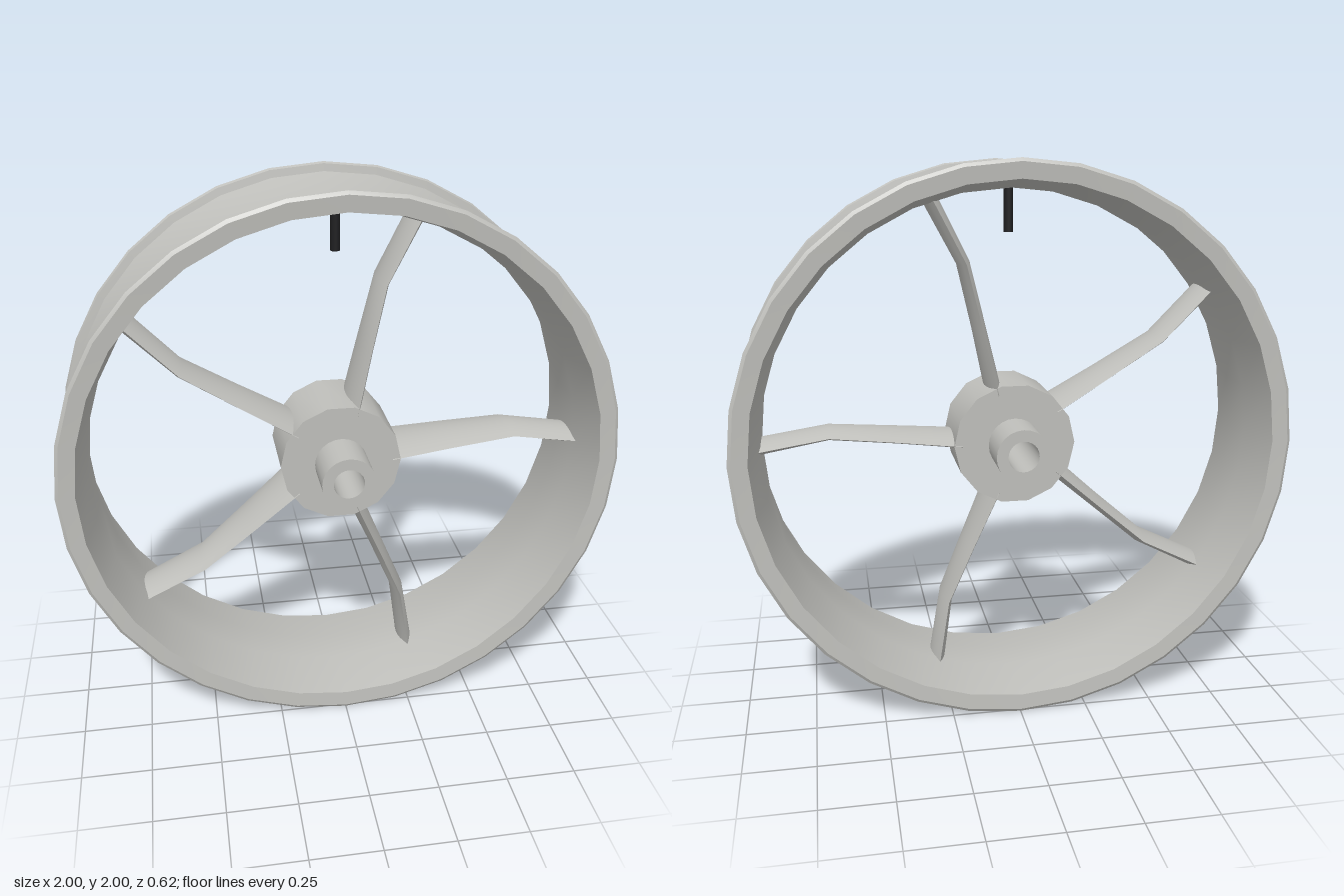
import * as THREE from 'three';
import { toCreasedNormals } from 'three/addons/utils/BufferGeometryUtils.js';

const silver = new THREE.MeshStandardMaterial({ color: 0xbfbfbb });
silver.name = 'silver';
const black = new THREE.MeshStandardMaterial({ color: 0x1e1e20 });
black.name = 'black';

// Turns a closed [radius, z] profile about the z axis, keeping sharp edges
function turned(profile, sides) {
  const pts = [...profile, profile[0]].map(([r, z]) => new THREE.Vector2(r, z));
  const geo = new THREE.LatheGeometry(pts, sides, Math.PI / 2).rotateX(Math.PI / 2);
  return toCreasedNormals(geo, 0.6);
}

// Lens-shaped spoke along +x; stations are [radius, sideways offset, half width, half thickness]
function spokeGeometry() {
  const stations = [
    [0.19, 0, 0.145, 0.028],
    [0.42, 0.022, 0.125, 0.024],
    [0.66, 0.042, 0.105, 0.023],
    [0.915, 0, 0.1, 0.028],
  ];
  const half = 8, n = half * 2;
  const pos = [], index = [];
  for (const [r, offset, w, h] of stations) {
    for (let k = 0; k < n; k++) {
      const top = k < half;
      const u = top ? -1 + (2 * k) / half : 1 - (2 * (k - half)) / half;
      pos.push(r, offset + (top ? 1 : -1) * h * (1 - u * u), w * u);
    }
  }
  for (let j = 0; j < stations.length - 1; j++) {
    for (let k = 0; k < n; k++) {
      const a = j * n + k, b = j * n + ((k + 1) % n);
      index.push(a, b, a + n, b, b + n, a + n);
    }
  }
  // End caps
  const last = (stations.length - 1) * n;
  for (let k = 1; k < n - 1; k++) {
    index.push(0, k + 1, k, last, last + k, last + k + 1);
  }
  const geo = new THREE.BufferGeometry();
  geo.setAttribute('position', new THREE.Float32BufferAttribute(pos, 3));
  geo.setIndex(index);
  return toCreasedNormals(geo, 0.4);
}

export function createModel() {
  const model = new THREE.Group();
  model.name = 'wheel';
  const add = (name, geo, mat) => {
    const mesh = new THREE.Mesh(geo, mat);
    mesh.name = name;
    mesh.position.y = 1;
    model.add(mesh);
    return mesh;
  };

  // Rim with a dropped centre and two raised lips
  const outer = [[0.932, 0.265], [0.988, 0.27], [1, 0.262], [0.995, 0.249], [0.968, 0.245], [0.925, 0.075]];
  add('rim', turned([
    ...outer.map(([r, z]) => [r, -z]),
    ...outer.slice().reverse(),
    [0.9, 0.075], [0.9, -0.075],
  ], 32), silver);

  // Hub drum and the axle sleeve that passes through it
  add('hub', turned([[0.08, -0.14], [0.22, -0.14], [0.22, 0.14], [0.08, 0.14]], 14), silver);
  add('axleSleeve', turned([[0.055, -0.31], [0.096, -0.31], [0.096, 0.31], [0.055, 0.31]], 24), silver);

  // Five bent spokes
  const spoke = spokeGeometry();
  for (let i = 0; i < 5; i++) {
    add('spoke' + (i + 1), spoke, silver).rotation.z = (i * Math.PI * 2) / 5;
  }

  // Valve stem pointing inward from the rim
  const valve = new THREE.CylinderGeometry(0.017, 0.017, 0.165, 8).translate(0, 0.8275, 0);
  add('valveStem', valve, black);

  return model;
}
